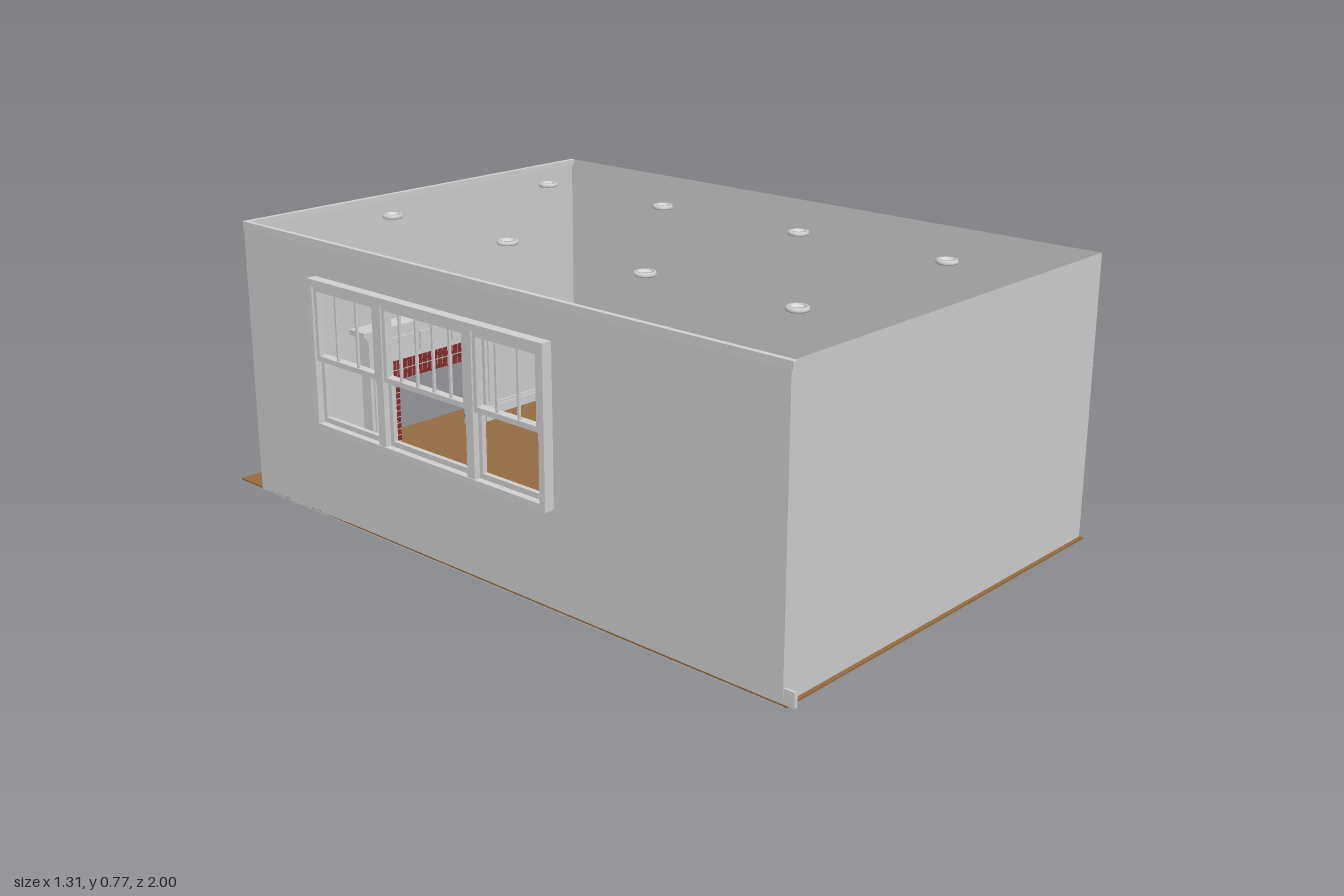
import * as THREE from 'three';

const mat = (name, color, side = THREE.FrontSide) => {
  const m = new THREE.MeshStandardMaterial({ color, side });
  m.name = name;
  return m;
};

export function createModel() {
  const room = new THREE.Group();
  room.name = 'room';
  const wallPaint = mat('wall paint', 0xcfcfcf, THREE.DoubleSide);
  const trim = mat('trim paint', 0xd2d2d2);
  const wood = mat('wood floor', 0x956d42);
  const brickRed = mat('brick red', 0x8a2c30);
  const mortar = mat('mortar', 0xc4bfba);
  const slate = mat('hearth slate', 0x505050);
  const lamp = mat('lamp glass', 0xdce4e6);

  const group = (name, parent = room) => {
    const g = new THREE.Group();
    g.name = name;
    parent.add(g);
    return g;
  };
  // Box given by its limits on each axis
  const box = (parent, name, m, [x0, x1], [y0, y1], [z0, z1]) => {
    const mesh = new THREE.Mesh(new THREE.BoxGeometry(x1 - x0, y1 - y0, z1 - z0), m);
    mesh.position.set((x0 + x1) / 2, (y0 + y1) / 2, (z0 + z1) / 2);
    mesh.name = name;
    parent.add(mesh);
    return mesh;
  };

  const H = 0.77, L = 0.617, R = -0.625, F = 0.97, B = -0.9;

  // Floor, running out behind the back wall, with the hearth slab underneath
  box(room, 'floor', wood, [-0.625, 0.62], [0.002, 0.007], [-1, 0.98]);
  box(room, 'hearthSlab', slate, [-0.25, 0.22], [0, 0.002], [-0.95, -0.85]);

  // Thin walls, optionally with a rectangular hole [a0, a1, y0, y1]
  const wall = (name, a0, a1, hole) => {
    const rect = (S, x0, x1, y0, y1) => {
      const s = new S();
      s.moveTo(x0, y0).lineTo(x1, y0).lineTo(x1, y1).lineTo(x0, y1).closePath();
      return s;
    };
    const shape = rect(THREE.Shape, a0, a1, 0, H);
    if (hole) shape.holes.push(rect(THREE.Path, ...hole));
    const mesh = new THREE.Mesh(new THREE.ShapeGeometry(shape), wallPaint);
    mesh.name = name;
    room.add(mesh);
    return mesh;
  };
  wall('frontWall', R, L).position.z = F;
  wall('backWall', R, L, [-0.175, 0.15, 0.001, 0.235]).position.z = B;
  const left = wall('leftWall', B, F);
  left.rotation.y = -Math.PI / 2;
  left.position.x = L;
  const right = wall('rightWall', B, F, [-0.58, 0.27, 0.28, 0.655]);
  right.rotation.y = -Math.PI / 2;
  right.position.x = R;

  // Skirting and cornice along the right and back walls
  const mouldings = group('mouldings');
  const skirting = [[0.007, 0.036, 0.012], [0.036, 0.045, 0.007]];
  for (const [y0, y1, d] of skirting) {
    box(mouldings, 'rightSkirting', trim, [R + 0.001, R + d], [y0, y1], [B, 1]);
    box(mouldings, 'backSkirting', trim, [R, -0.265], [y0, y1], [B + 0.001, B + d]);
    box(mouldings, 'backSkirting', trim, [0.235, 0.655], [y0, y1], [B + 0.001, B + d]);
  }
  for (const [y0, y1, d] of [[0.76, H, 0.012], [0.75, 0.76, 0.006]]) {
    box(mouldings, 'rightCornice', trim, [R - 0.002, R + d], [y0, y1], [B, F + 0.006]);
    box(mouldings, 'backCornice', trim, [R, L], [y0, y1], [B - 0.003, B + d]);
  }

  // Triple window: outer casing, then three sash units
  const win = group('window');
  const casing = (name, x, z0, z1, y0, y1, w) => {
    box(win, name, trim, x, [y1 - w, y1], [z0, z1]);
    box(win, name, trim, x, [y0, y0 + w], [z0, z1]);
    for (const z of [z0, z1 - w]) box(win, name, trim, x, [y0 + w, y1 - w], [z, z + w]);
  };
  casing('innerCasing', [R + 0.001, R + 0.01], -0.605, 0.295, 0.257, 0.68, 0.027);
  casing('outerFrame', [-0.654, R + 0.001], -0.592, 0.282, 0.262, 0.672, 0.018);
  box(win, 'windowSill', trim, [R, R + 0.025], [0.262, 0.275], [-0.63, 0.32]);
  for (const z of [-0.312, 0.024]) {
    box(win, 'mullion', trim, [-0.652, R + 0.008], [0.28, 0.654], [z - 0.013, z + 0.013]);
  }
  const units = [[-0.574, -0.325, 2], [-0.299, 0.011, 4], [0.037, 0.264, 2]];
  for (const [z0, z1, bars] of units) {
    const sash = (x, y0, y1) => {
      for (const y of [y0, y1 - 0.014]) box(win, 'sashRail', trim, x, [y, y + 0.014], [z0, z1]);
      for (const z of [z0, z1 - 0.012]) box(win, 'sashStile', trim, x, [y0, y1], [z, z + 0.012]);
    };
    sash([-0.635, -0.622], 0.28, 0.465);
    sash([-0.648, -0.635], 0.452, 0.654);
    for (let i = 1; i <= bars; i++) {
      const z = z0 + (z1 - z0) * i / (bars + 1);
      box(win, 'glazingBar', trim, [-0.645, -0.638], [0.466, 0.64], [z - 0.003, z + 0.003]);
    }
  }

  // Fireplace surround: legs, panelled frieze and shelf
  const fire = group('fireplace');
  const cx = -0.0125;
  for (const s of [-1, 1]) {
    const x = cx + s * 0.222;
    const leg = (name, w, y, z1) => box(fire, name, trim, [x - w, x + w], y, [B + 0.002, z1]);
    leg('mantelLeg', 0.025, [0.03, 0.3], -0.858);
    leg('mantelPlinth', 0.029, [0.001, 0.05], -0.85);
    leg('mantelCapital', 0.029, [0.29, 0.37], -0.853);
    box(fire, 'legPanel', trim, [x - 0.013, x + 0.013], [0.07, 0.27], [-0.858, -0.853]);
  }
  box(fire, 'frieze', trim, [cx - 0.2, cx + 0.2], [0.28, 0.37], [B + 0.002, -0.864]);
  for (const i of [-1, 0, 1]) {
    const x = cx + i * 0.124;
    box(fire, 'friezePanel', trim, [x - 0.054, x + 0.054], [0.297, 0.352], [-0.864, -0.858]);
  }
  box(fire, 'shelfMoulding', trim, [cx - 0.265, cx + 0.265], [0.37, 0.383], [B + 0.002, -0.842]);
  box(fire, 'mantelShelf', trim, [cx - 0.283, cx + 0.283], [0.383, 0.398], [B + 0.002, -0.83]);

  // Brick lining: mortar bed with bricks standing proud on both faces
  const bricks = (x0, x1, y0, y1, cols, rows) => {
    box(fire, 'mortarBed', mortar, [x0, x1], [y0, y1], [-0.885, -0.872]);
    const w = (x1 - x0) / cols, h = (y1 - y0) / rows;
    for (let r = 0; r < rows; r++) for (let c = 0; c < cols; c++) {
      const x = x0 + c * w, y = y0 + r * h;
      box(fire, 'brick', brickRed, [x + 0.002, x + w - 0.002], [y + 0.002, y + h - 0.002], [-0.888, -0.869]);
    }
  };
  bricks(cx - 0.197, cx - 0.13, 0.007, 0.215, 2, 11);
  bricks(cx + 0.13, cx + 0.197, 0.007, 0.215, 2, 11);
  bricks(cx - 0.197, cx + 0.197, 0.215, 0.28, 20, 2);

  // Sockets on the right and back walls
  const sockets = group('sockets');
  box(sockets, 'backSocket', trim, [-0.435, -0.41], [0.085, 0.125], [B + 0.001, B + 0.005]);
  for (const z of [-0.75, -0.34]) {
    box(sockets, 'rightSocket', trim, [R + 0.001, R + 0.005], [0.1, 0.14], [z - 0.013, z + 0.013]);
  }

  // Eight recessed ceiling lamps
  const profile = [[0.017, 0.762], [0.026, 0.762], [0.029, 0.766], [0.026, 0.773], [0.017, 0.773], [0.017, 0.762]]
    .map(([r, y]) => new THREE.Vector2(r, y));
  const ringGeo = new THREE.LatheGeometry(profile, 16);
  const discGeo = new THREE.CylinderGeometry(0.017, 0.017, 0.006, 16);
  for (const x of [-0.3, 0.29]) for (const z of [-0.67, -0.21, 0.27, 0.73]) {
    const light = group('ceilingLamp');
    light.position.set(x, 0, z);
    const ring = new THREE.Mesh(ringGeo, trim);
    ring.name = 'lampRing';
    const disc = new THREE.Mesh(discGeo, lamp);
    disc.name = 'lampDisc';
    disc.position.y = 0.768;
    light.add(ring, disc);
  }
  return room;
}
